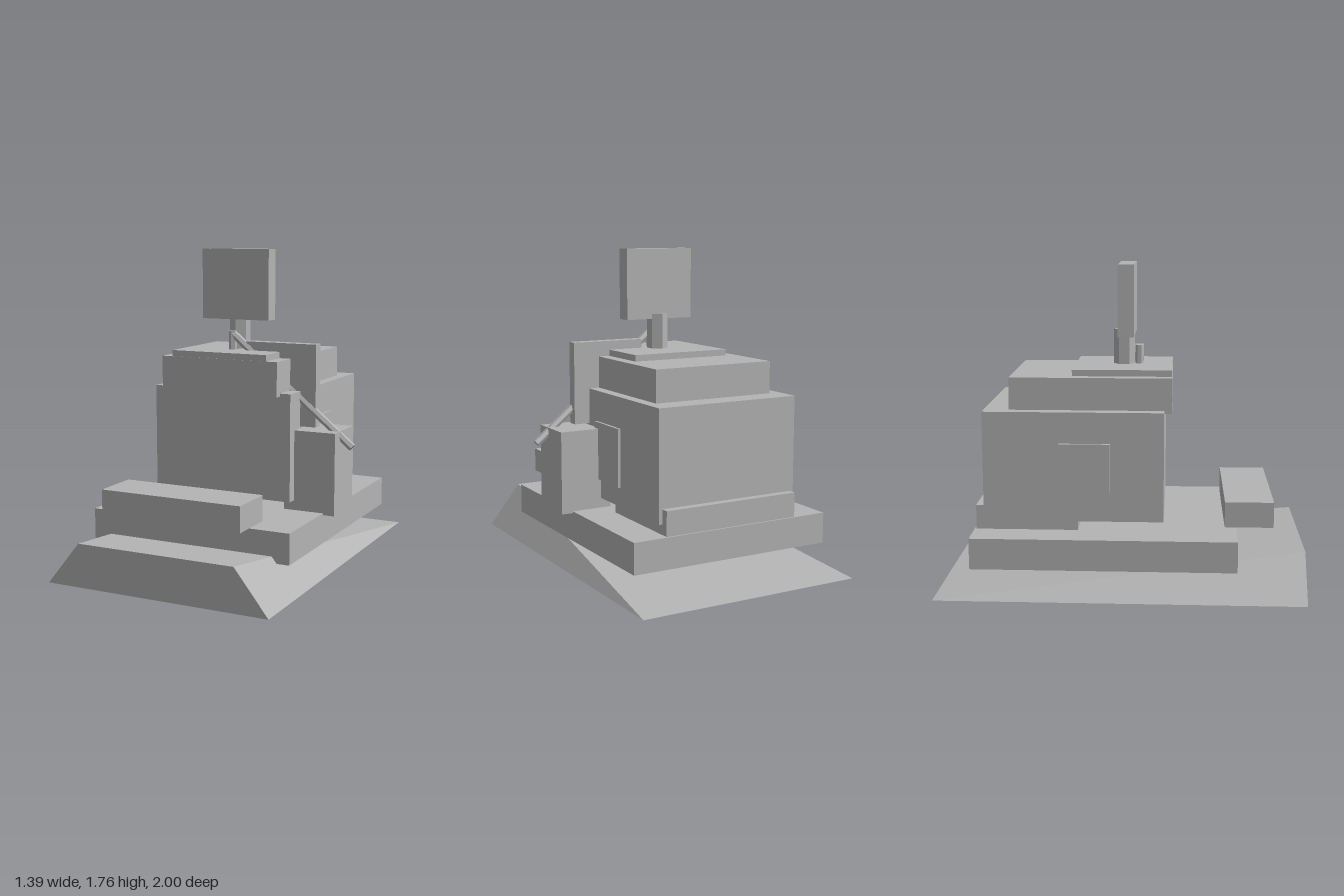
import * as THREE from 'three';
import { ConvexGeometry } from 'three/addons/geometries/ConvexGeometry.js';

export function createModel() {
  const model = new THREE.Group();
  const grey = new THREE.MeshStandardMaterial({ color: 0xb4b4b4 });
  grey.name = 'plain grey';

  function add(name, geometry) {
    const mesh = new THREE.Mesh(geometry, grey);
    mesh.name = name;
    model.add(mesh);
    return mesh;
  }

  // Box given by its extents on each axis
  function box(name, [x0, x1], [y0, y1], [z0, z1]) {
    const mesh = add(name, new THREE.BoxGeometry(x1 - x0, y1 - y0, z1 - z0));
    mesh.position.set((x0 + x1) / 2, (y0 + y1) / 2, (z0 + z1) / 2);
  }

  // Six-sided rod between two points
  function rod(name, from, to, radius) {
    const a = new THREE.Vector3(...from);
    const b = new THREE.Vector3(...to);
    const dir = b.clone().sub(a);
    const geometry = new THREE.CylinderGeometry(radius, radius, dir.length(), 6).toNonIndexed();
    geometry.computeVertexNormals();
    const mesh = add(name, geometry);
    mesh.position.copy(a).add(b).multiplyScalar(0.5);
    mesh.quaternion.setFromUnitVectors(new THREE.Vector3(0, 1, 0), dir.normalize());
  }

  // Sloping wedge that rises towards the front, with leaning sides
  add('baseWedge', new ConvexGeometry([
    [-0.7, 0, -1], [0.6, 0, -1], [-0.7, 0, 1], [0.6, 0, 1],
    [-0.505, 0.24, 1], [0.41, 0.24, 1],
  ].map((p) => new THREE.Vector3(...p))));

  // Deck and the low pieces on it
  box('deck', [-0.645, 0.545], [0.16, 0.33], [-0.805, 0.63]);
  box('frontBench', [-0.463, 0.362], [0.36, 0.5], [0.565, 0.83]);
  box('rearSill', [-0.453, 0.35], [0.33, 0.465], [-0.795, -0.235]);

  // Stepped body
  box('body', [-0.473, 0.37], [0.385, 0.988], [-0.75, 0.233]);
  box('sidePlates', [-0.49, 0.385], [0.493, 0.817], [-0.335, -0.058]);
  box('upperBody', [-0.405, 0.308], [0.972, 1.165], [-0.612, 0.275]);
  box('roofCap', [-0.34, 0.242], [1.16, 1.2], [-0.273, 0.273]);

  // Parts on the left side
  box('sideCabinet', [0.31, 0.61], [0.32, 0.78], [-0.1, 0.175]);
  box('sidePanel', [0.035, 0.462], [0.79, 1.25], [0.035, 0.095]);

  // Post with its square board
  rod('post', [-0.05, 0.33, 0], [-0.05, 1.395, 0], 0.059);
  box('board', [-0.257, 0.159], [1.368, 1.765], [-0.027, 0.062]);

  // Bent lever
  rod('leverStem', [-0.053, 1.15, 0.085], [-0.053, 1.305, 0.085], 0.022);
  rod('leverArm', [-0.05, 1.29, 0.085], [0.677, 0.694, 0.085], 0.022);

  return model;
}
